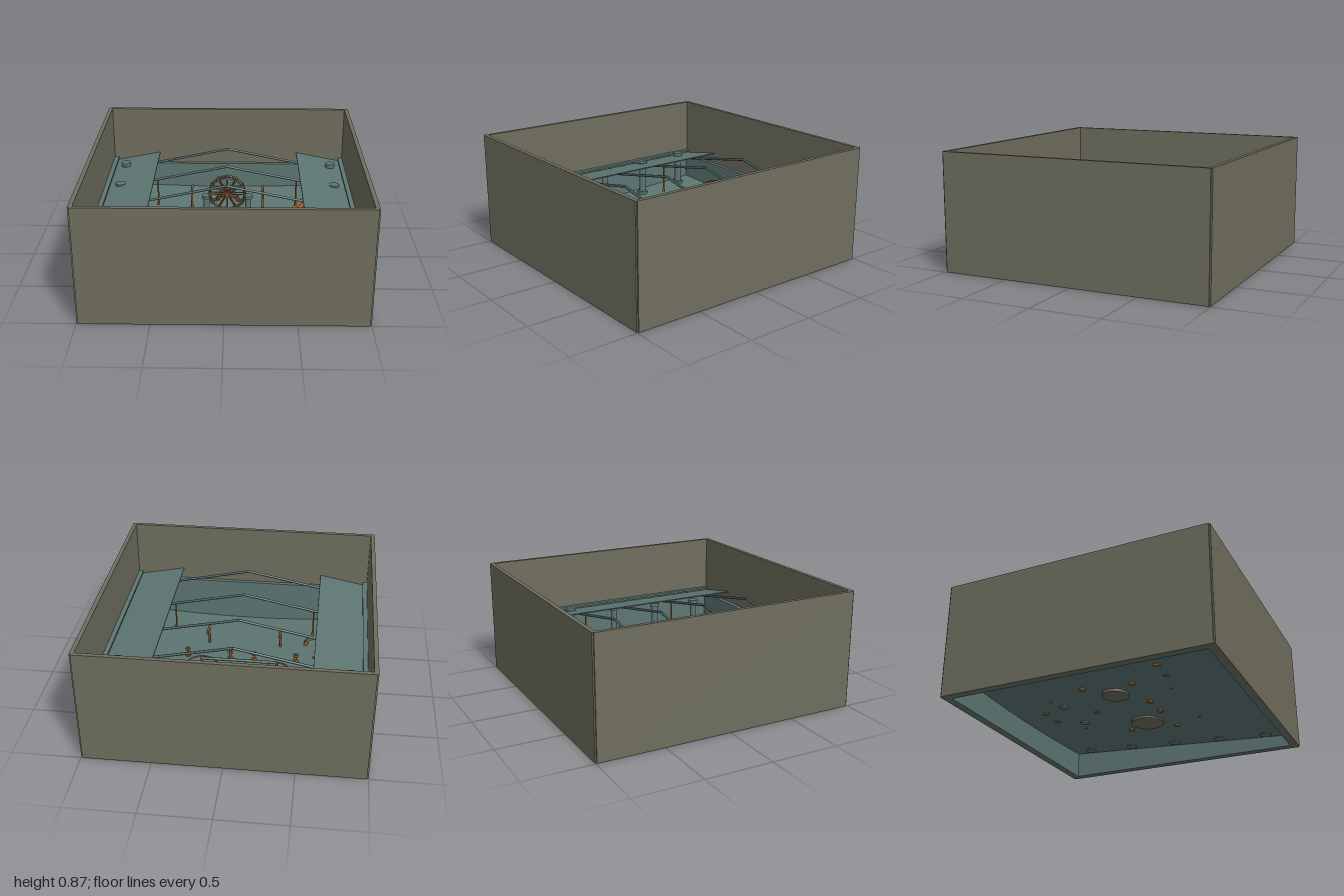
import * as THREE from 'three';

const mat = (name, color, double) => {
  const m = new THREE.MeshStandardMaterial({ color });
  m.name = name;
  if (double) m.side = THREE.DoubleSide;
  return m;
};

// gently sloping ground height, dipping in the middle
const ground = (x, z) => {
  const c = Math.cos((x * Math.PI) / 2);
  return 0.15 - 0.06 * z - 0.028 * c - 0.02 * c * Math.max(0, z) ** 1.5;
};

export function createModel() {
  const olive = mat('olive', 0x6f6e5e);
  const teal = mat('teal', 0x5d7673, true);
  const steel = mat('dark teal', 0x4a5e5d);
  const copper = mat('copper', 0x97622f);
  const wood = mat('wood', 0x96683c);
  const model = new THREE.Group();

  const add = (name, geo, material, x = 0, y = 0, z = 0, parent = model) => {
    const m = new THREE.Mesh(geo, material);
    m.name = name;
    m.position.set(x, y, z);
    parent.add(m);
    return m;
  };
  const box = (w, h, d) => new THREE.BoxGeometry(w, h, d);
  const cyl = (r, h, n = 16) => new THREE.CylinderGeometry(r, r, h, n);
  const rod = (name, a, b, r, material, parent = model) => {
    const p = new THREE.Vector3(...a), q = new THREE.Vector3(...b);
    const d = q.clone().sub(p);
    const m = add(name, cyl(r, d.length(), 8), material, 0, 0, 0, parent);
    m.position.copy(p).add(q).multiplyScalar(0.5);
    m.quaternion.setFromUnitVectors(new THREE.Vector3(0, 1, 0), d.normalize());
    return m;
  };
  const group = (name, x, y, z) => {
    const g = new THREE.Group();
    g.name = name;
    g.position.set(x, y, z);
    model.add(g);
    return g;
  };

  // outer walls with notched corners, and the lower inner lining
  const H = 0.866, L = 0.39;
  for (const s of [-1, 1]) {
    add('endWall', box(1.98, H, 0.03), olive, 0, H / 2, s * 0.985);
    add('sideWall', box(0.03, H, 1.98), olive, s * 0.985, H / 2, 0);
    add('endLining', box(1.94, L, 0.033), teal, 0, L / 2, s * 0.9535);
    add('sideLining', box(0.033, L, 1.874), teal, s * 0.9535, L / 2, 0);
  }

  // ground sheet
  const floor = new THREE.PlaneGeometry(1.88, 1.88, 32, 32).rotateX(-Math.PI / 2);
  const p = floor.attributes.position;
  for (let i = 0; i < p.count; i++) p.setY(i, ground(p.getX(i), p.getZ(i)));
  floor.computeVertexNormals();
  add('floor', floor, teal);

  // sloping side roofs, with a rail on short posts along each eave
  const roofY = (x) => 0.595 - 0.2 * Math.abs(x);
  for (const s of [-1, 1]) {
    const run = 0.375, rise = 0.2 * run;
    const roof = add('roof', box(Math.hypot(run, rise), 0.008, 1.93), teal, s * 0.7675, roofY(0.7675), 0);
    roof.rotation.z = -s * Math.atan(0.2);
    add('eaveRail', box(0.035, 0.014, 1.93), teal, s * 0.9525, 0.429, 0);
    for (let i = -7; i <= 7; i++)
      add('railPost', box(0.02, 0.036, 0.014), teal, s * 0.948, 0.405, i * 0.128);
  }

  // rafters, pillars and hanging hooks
  for (let i = -2; i <= 2; i++) {
    const z = i * 0.385;
    for (const s of [-1, 1]) {
      rod('rafter', [0, 0.588, z], [s * 0.935, 0.396, z], 0.01, steel);
      const x = s * 0.85, y = ground(x, z);
      add('pillarBase', cyl(0.045, 0.03), teal, x, y + 0.003, z);
      add('pillarShaft', cyl(0.026, 0.26), teal, x, y + 0.135, z);
      add('pillarCap', cyl(0.04, 0.03), teal, x, y + 0.26, z);
      if (i === -1 || i === 1) {
        rod('hook', [s * 0.55, 0.47, z], [s * 0.55, 0.27, z], 0.006, copper);
        add('hookWeight', cyl(0.01, 0.025, 10), copper, s * 0.55, 0.265, z);
      }
    }
  }

  // sunken round basins with thin rims, and the shaft between them
  for (const [x, r] of [[-0.29, 0.1], [0.29, 0.128]]) {
    const y = ground(x, 0);
    add('basin', cyl(r - 0.003, 0.055, 18), olive, x, y + 0.008, 0);
    const rim = add('basinRim', new THREE.TorusGeometry(r - 0.004, 0.006, 6, 18), olive, x, y + 0.037, 0);
    rim.rotation.x = Math.PI / 2;
    rod('shaftStand', [x, y, 0], [x, 0.23, 0], 0.011, steel);
  }
  rod('shaft', [-0.29, 0.225, 0], [0.29, 0.225, 0], 0.012, steel);

  // spoked wheel
  const wheel = group('wheel', 0, 0.315, -0.48);
  for (const z of [-0.02, 0.02]) {
    add('rim', new THREE.TorusGeometry(0.143, 0.008, 6, 28), steel, 0, 0, z, wheel);
    for (let k = 0; k < 12; k++) {
      const a = (k * Math.PI) / 6;
      rod('spoke', [0, 0, z], [0.143 * Math.cos(a), 0.143 * Math.sin(a), z], 0.005, copper, wheel);
    }
  }
  for (let k = 0; k < 12; k++) {
    const a = (k * Math.PI) / 6;
    const b = add('paddle', box(0.026, 0.012, 0.066), copper,
      0.14 * Math.cos(a), 0.14 * Math.sin(a), 0, wheel);
    b.rotation.z = a;
  }
  rod('axle', [0, 0, -0.055], [0, 0, 0.055], 0.014, copper, wheel);
  for (const s of [-1, 1]) {
    const x = s * 0.17, y = ground(x, -0.48);
    add('pedestal', cyl(0.024, 0.14), teal, x, y + 0.065, -0.48);
    add('pedestalCap', cyl(0.037, 0.022), teal, x, y + 0.135, -0.48);
    add('pedestalBase', cyl(0.037, 0.022), teal, x, y, -0.48);
  }

  // banded hoops
  for (const [x, z] of [[0, -0.68], [-0.58, 0.48]]) {
    const hoop = group('hoop', x, ground(x, z) - 0.01, z);
    const arc = (r0, r1, a0, a1, d) => {
      const s = new THREE.Shape();
      s.absarc(0, 0, r1, a0, a1, false);
      s.absarc(0, 0, r0, a1, a0, true);
      return new THREE.ExtrudeGeometry(s, { depth: d, bevelEnabled: false, curveSegments: 12 })
        .translate(0, 0, -d / 2);
    };
    add('arch', arc(0.075, 0.097, 0, Math.PI, 0.038), teal, 0, 0, 0, hoop);
    for (const [a, w] of [[0, 0.55], [Math.PI / 2 - 0.14, 0.28], [Math.PI - 0.55, 0.55]])
      add('band', arc(0.072, 0.1, a, a + w, 0.044), copper, 0, 0, 0, hoop);
  }

  // bent pipes
  for (const x of [-0.29, 0.29])
    for (const z of [-0.53, 0.43]) {
      const y = ground(x, z), top = y + 0.16;
      rod('pipePost', [x, y - 0.01, z], [x, top, z], 0.009, copper);
      rod('pipeArm', [x, top, z + 0.006], [x, top, z - 0.1], 0.009, copper);
      rod('pipeTip', [x, top + 0.005, z - 0.095], [x, top - 0.02, z - 0.095], 0.009, copper);
    }

  // low valve posts
  for (const [x, z] of [[-0.43, -0.195], [0.43, -0.195], [-0.43, 0.19], [-0.1, 0.19], [0.09, 0.19], [0.43, 0.19]]) {
    const y = ground(x, z);
    add('valveFoot', cyl(0.024, 0.024, 12), copper, x, y, z);
    add('valveStem', cyl(0.01, 0.07, 10), copper, x, y + 0.035, z);
    const ring = add('valveRing', new THREE.TorusGeometry(0.017, 0.008, 6, 14), copper, x, y + 0.06, z);
    ring.rotation.x = Math.PI / 2;
    add('valveCap', cyl(0.011, 0.01, 10), steel, x, y + 0.069, z);
  }

  // small marker block
  add('markerBlock', box(0.036, 0.04, 0.036), teal, 0, ground(0, -0.29) + 0.015, -0.29);
  add('markerKnob', cyl(0.011, 0.016, 8), copper, 0, ground(0, -0.29) + 0.041, -0.29);

  // slatted platform, partly under the roof
  const deck = group('slatPlatform', 0.647, ground(0.64, -0.42) + 0.03, -0.427);
  deck.rotation.y = -0.463;
  for (let i = 0; i < 6; i++)
    add('slat', box(0.037, 0.014, 0.36), wood, (i - 2.5) * 0.04, 0.01, 0, deck);
  for (const z of [-0.13, 0.13]) add('crossBar', box(0.23, 0.02, 0.025), wood, 0, -0.007, z, deck);

  // short loose rod
  const gy = ground(-0.6, 0.25);
  rod('looseRod', [-0.565, gy + 0.02, 0.232], [-0.65, gy + 0.02, 0.3], 0.009, copper);

  return model;
}
